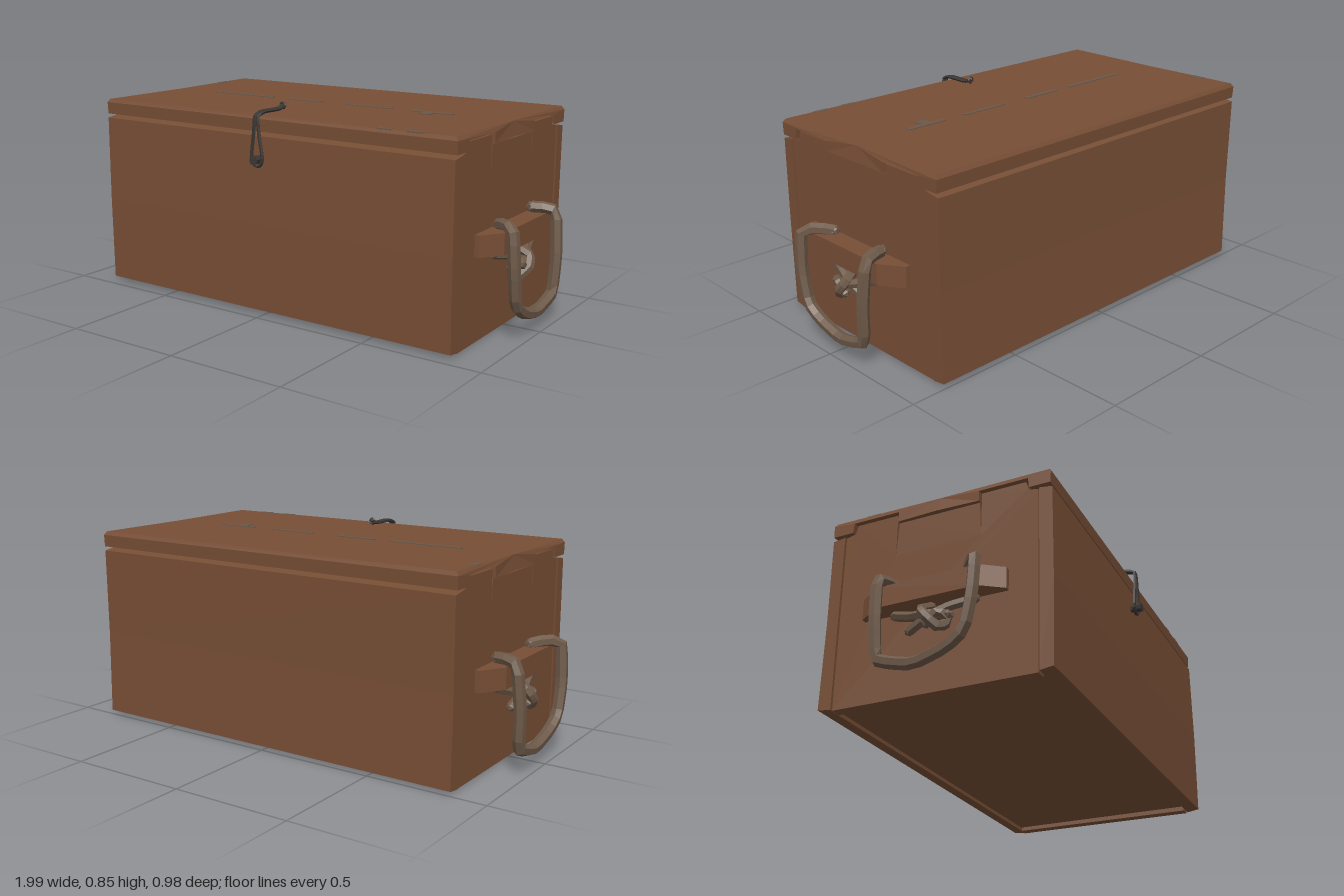
import * as THREE from 'three';

const flat = (hex, side = THREE.FrontSide) => {
  const m = new THREE.MeshStandardMaterial({ color: hex });
  m.flatShading = true;
  m.side = side;
  return m;
};
const V = (x, y, z) => new THREE.Vector3(x, y, z);

export function createModel() {
  const wood = flat(0x774e35); wood.name = 'brown wood';
  const rope = flat(0x6e5a49); rope.name = 'rope';
  const cord = flat(0x3b3734); cord.name = 'dark cord';
  const worn = flat(0x6b5848); worn.name = 'worn wood';

  const model = new THREE.Group();
  model.name = 'woodenChest';

  const add = (parent, name, geo, mat) => {
    const mesh = new THREE.Mesh(geo, mat);
    mesh.name = name;
    parent.add(mesh);
    return mesh;
  };
  // box given by its min and max corners
  const box = (parent, name, a, b, mat) => {
    const g = new THREE.BoxGeometry(b[0] - a[0], b[1] - a[1], b[2] - a[2]);
    g.translate((a[0] + b[0]) / 2, (a[1] + b[1]) / 2, (a[2] + b[2]) / 2);
    return add(parent, name, g, mat);
  };
  // (z, y) profile extruded from x0 to x1
  const profileX = (pts, x0, x1) => {
    const shape = new THREE.Shape(pts.map(p => new THREE.Vector2(p[0], p[1])));
    const g = new THREE.ExtrudeGeometry(shape, { depth: x1 - x0, bevelEnabled: false });
    return g.rotateY(-Math.PI / 2).translate(x1, 0, 0);
  };
  // rope along points, closed off at both ends
  const strand = (parent, name, pts, r, mat, segs = 28, sides = 6) => {
    const curve = new THREE.CatmullRomCurve3(pts, false, 'catmullrom', 0.2);
    add(parent, name, new THREE.TubeGeometry(curve, segs, r, sides), mat);
    for (const p of [pts[0], pts[pts.length - 1]]) {
      add(parent, name + 'End', new THREE.IcosahedronGeometry(r, 0).translate(p.x, p.y, p.z), mat);
    }
  };

  // front and back walls, slightly bevelled along the bottom and top
  add(model, 'frontWall', profileX([[0.395, 0.005], [0.447, 0.013], [0.45, 0.37], [0.447, 0.73], [0.395, 0.738]], -0.85, 0.85), wood);
  add(model, 'backWall', profileX([[-0.435, 0.005], [-0.435, 0.738], [-0.487, 0.73], [-0.484, 0.37], [-0.49, 0.013]], -0.85, 0.85), wood);
  box(model, 'floor', [-0.81, 0.02, -0.437], [0.81, 0.05, 0.397], wood);

  // side panels with raised tabs and narrow splits
  const panel = [
    [-0.43, 0.003], [0.39, 0], [0.39, 0.735], [0.35, 0.745], [0.34, 0.78], [0.16, 0.78],
    [0.16, 0.6], [0.152, 0.742], [-0.192, 0.742], [-0.2, 0.6], [-0.2, 0.78],
    [-0.38, 0.78], [-0.39, 0.745], [-0.43, 0.735],
  ];

  // lid planks, notched over the tabs
  const lid = new THREE.Group();
  lid.name = 'lid';
  model.add(lid);
  const planks = [
    ['lidFrontPlank', [[-0.022, 0.809], [-0.026, 0.75], [0.152, 0.745], [0.152, 0.788], [0.352, 0.788],
      [0.357, 0.747], [0.441, 0.747], [0.444, 0.797], [0.436, 0.811]]],
    ['lidBackPlank', [[-0.022, 0.809], [-0.477, 0.812], [-0.486, 0.797], [-0.483, 0.747], [-0.397, 0.747],
      [-0.392, 0.788], [-0.192, 0.788], [-0.192, 0.745], [-0.018, 0.75]]],
  ];
  for (const [name, pts] of planks) {
    const g = profileX(pts, -0.855, 0.855);
    // soften the upper end edges
    const p = g.attributes.position;
    for (let i = 0; i < p.count; i++) {
      if (p.getY(i) > 0.805) p.setX(i, Math.sign(p.getX(i)) * 0.845);
    }
    g.computeVertexNormals();
    add(lid, name, g, wood);
  }

  // worn spots on the lid: x, z, length, width
  const spots = [
    [-0.46, -0.013, 0.32, 0.022], [-0.13, -0.012, 0.18, 0.022], [0.2, -0.013, 0.22, 0.018],
    [0.5, -0.01, 0.18, 0.024], [0.49, 0.02, 0.05, 0.05], [-0.83, -0.31, 0.03, 0.06],
    [0.55, 0.428, 0.06, 0.02], [0.68, 0.428, 0.07, 0.02],
  ];
  for (const [x, z, w, d] of spots) {
    box(lid, 'wornSpot', [x - w / 2, 0.808, z - d / 2], [x + w / 2, 0.8125, z + d / 2], worn);
  }

  // each end: panel, cleat, hanging rope handle and knot
  for (const s of [1, -1]) {
    const end = new THREE.Group();
    end.name = s > 0 ? 'leftEnd' : 'rightEnd';
    model.add(end);
    add(end, 'sidePanel', s > 0 ? profileX(panel, 0.8, 0.845) : profileX(panel, -0.845, -0.8), wood);

    // cleat: trapezoid in plan, shape (x, -z) raised along y
    const plan = [[0.84, 0.275], [0.865, 0.275], [0.925, 0.19], [0.925, -0.22], [0.865, -0.315], [0.84, -0.315]];
    const shape = new THREE.Shape(plan.map(([x, z]) => new THREE.Vector2(s * x, -z)));
    const cleat = new THREE.ExtrudeGeometry(shape, { depth: 0.085, bevelEnabled: false });
    add(end, 'cleat', cleat.rotateX(-Math.PI / 2).translate(0, 0.34, 0), wood);

    const P = (z, y, x) => V(s * x, y, z);
    strand(end, 'ropeHandle', [
      P(0.12, 0.435, 0.865), P(0.165, 0.45, 0.92), P(0.198, 0.43, 0.962), P(0.195, 0.28, 0.972),
      P(0.168, 0.15, 0.97), P(0.1, 0.1, 0.966), P(-0.03, 0.064, 0.962), P(-0.175, 0.105, 0.966),
      P(-0.19, 0.26, 0.972), P(-0.2, 0.43, 0.958), P(-0.19, 0.447, 0.92), P(-0.175, 0.445, 0.865),
    ], 0.024, rope);
    // crossing tails and knot below the cleat
    strand(end, 'knotTail', [P(0.155, 0.325, 0.865), P(0.06, 0.305, 0.885), P(-0.02, 0.27, 0.9), P(-0.095, 0.235, 0.89)], 0.019, rope, 10);
    strand(end, 'knotTail', [P(-0.175, 0.325, 0.865), P(-0.09, 0.295, 0.885), P(-0.02, 0.275, 0.915), P(0.07, 0.26, 0.9)], 0.019, rope, 10);
    strand(end, 'knotLoop', [
      P(-0.015, 0.32, 0.88), P(-0.03, 0.29, 0.93), P(0.0, 0.25, 0.94), P(0.035, 0.215, 0.91),
      P(0.065, 0.245, 0.89), P(0.035, 0.275, 0.92), P(-0.01, 0.235, 0.92),
    ], 0.02, rope, 18);
  }

  // cord loop from the lid over a peg on the front
  const latch = new THREE.Group();
  latch.name = 'latch';
  model.add(latch);
  for (const s of [1, -1]) {
    strand(latch, 'latchCord', [
      V(-0.01, 0.838, 0.295), V(-0.01 + s * 0.007, 0.825, 0.33), V(-0.01 + s * 0.008, 0.826, 0.43),
      V(-0.01 + s * 0.007, 0.812, 0.47), V(-0.01 + s * 0.012, 0.75, 0.472),
      V(-0.01 + s * 0.027, 0.65, 0.47), V(-0.01 + s * 0.02, 0.622, 0.468), V(-0.01, 0.614, 0.468),
    ], 0.0075, cord, 24, 5);
  }
  const knot = new THREE.TorusGeometry(0.011, 0.006, 5, 7);
  add(latch, 'lidKnot', knot.translate(-0.01, 0.835, 0.3), cord);
  const peg = new THREE.CylinderGeometry(0.02, 0.015, 0.055, 7).rotateX(Math.PI / 2);
  add(latch, 'peg', peg.translate(-0.01, 0.64, 0.467), cord);

  return model;
}
